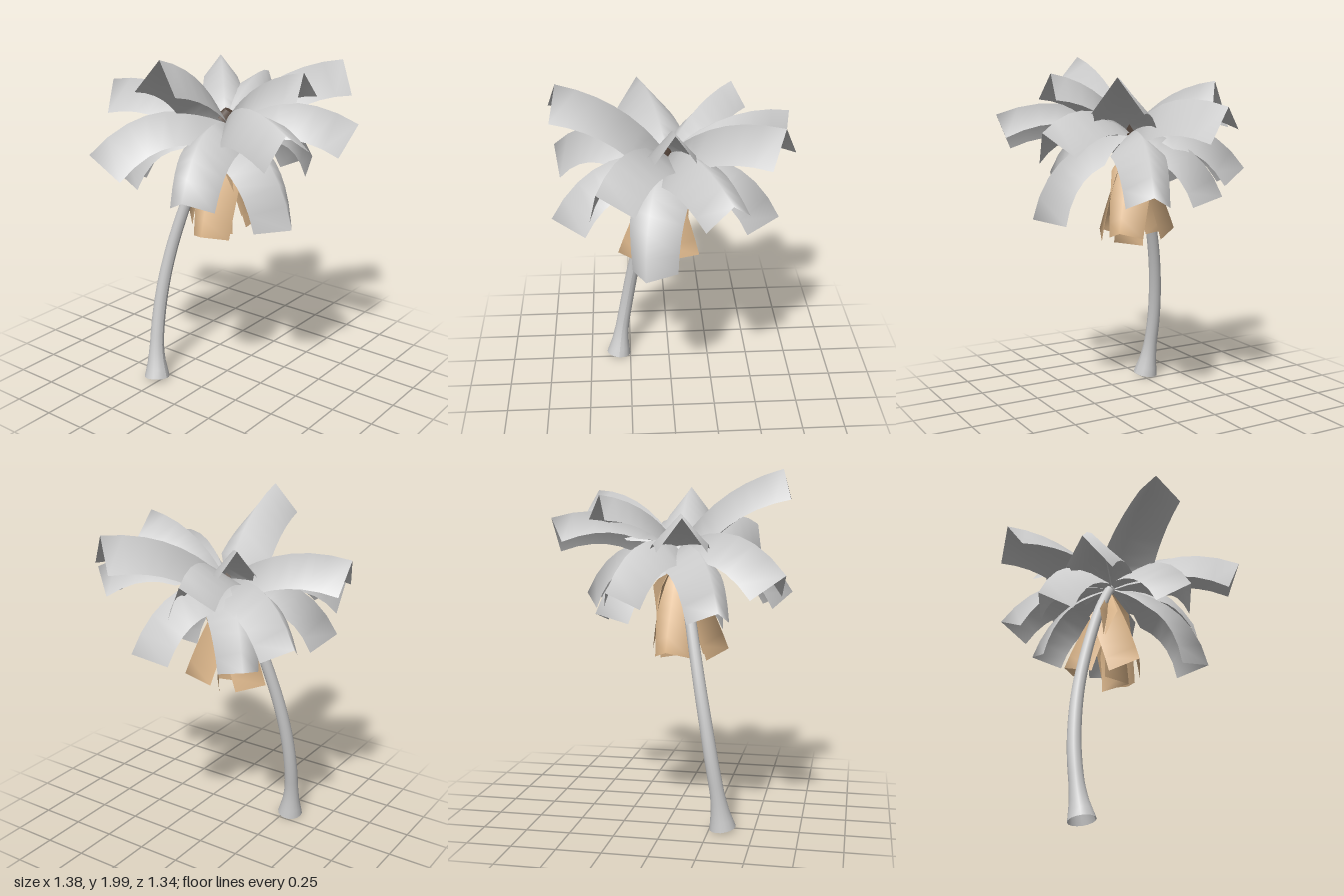
import * as THREE from 'three';

const UP = new THREE.Vector3(0, 1, 0);
const v = (x, y, z) => new THREE.Vector3(x, y, z);

// Piecewise-linear lookup in a list of [t, value] pairs
function ramp(pairs, t) {
  for (let i = 1; i < pairs.length; i++) {
    const [t0, a] = pairs[i - 1], [t1, b] = pairs[i];
    if (t <= t1) return a + (b - a) * (t - t0) / (t1 - t0);
  }
  return pairs[pairs.length - 1][1];
}

// Half width and fold depth along a leaf, relative to its length
const WIDTH = [[0, 0.014], [0.28, 0.22], [1, 0.173]];
const DROP = [[0, 0.014], [0.28, 0.19], [1, 0.236]];

// Folded leaf: an arched ridge with two sides hanging down from it
function leafGeometry(base, tip, bulge, roll) {
  const chord = tip.clone().sub(base);
  const length = chord.length();
  chord.normalize();
  const side = chord.clone().cross(UP).normalize().applyAxisAngle(chord, roll);
  const lift = side.clone().cross(chord);
  const middle = base.clone().lerp(tip, 0.5).addScaledVector(lift, bulge * length);
  const ridge = new THREE.QuadraticBezierCurve3(base, middle, tip);
  const stations = [0, 0.1, 0.19, 0.28, 0.42, 0.56, 0.7, 0.85, 1];
  const positions = [], index = [];
  stations.forEach((t, i) => {
    const p = ridge.getPoint(t);
    const normal = side.clone().cross(ridge.getTangent(t));
    const w = ramp(WIDTH, t) * length, d = ramp(DROP, t) * length;
    for (const s of [-1, 0, 1]) {
      const q = p.clone();
      if (s) q.addScaledVector(side, s * w).addScaledVector(normal, -d);
      positions.push(q.x, q.y, q.z);
    }
    if (i === 0) return;
    for (let k = 0; k < 2; k++) {
      const a = (i - 1) * 3 + k, b = i * 3 + k;
      index.push(a, a + 1, b, a + 1, b + 1, b);
    }
  });
  const geometry = new THREE.BufferGeometry();
  geometry.setAttribute('position', new THREE.Float32BufferAttribute(positions, 3));
  geometry.setIndex(index);
  geometry.computeVertexNormals();
  return geometry;
}

export function createModel() {
  const model = new THREE.Group();
  const material = (name, color) => {
    const m = new THREE.MeshStandardMaterial({ color, side: THREE.DoubleSide });
    m.name = name;
    return m;
  };
  const grey = material('grey', 0xcccccc);
  const tan = material('tan', 0xdeb88c);
  const brown = material('brown', 0x54443a);
  const add = (name, geometry, mat, parent = model) => {
    const mesh = new THREE.Mesh(geometry, mat);
    mesh.name = name;
    parent.add(mesh);
    return mesh;
  };

  // Leaning hollow trunk with a flared foot
  const path = new THREE.CatmullRomCurve3([
    v(-0.283, 0.02, 0.325), v(-0.302, 0.2, 0.3), v(-0.308, 0.4, 0.265), v(-0.295, 0.6, 0.23),
    v(-0.265, 0.8, 0.192), v(-0.218, 1.0, 0.153), v(-0.16, 1.2, 0.113), v(-0.09, 1.4, 0.068),
    v(-0.015, 1.56, 0.022),
  ]);
  const rings = 32, sides = 16;
  const trunk = new THREE.TubeGeometry(path, rings, 1, sides);
  const position = trunk.attributes.position;
  const radius = [[0, 0.075], [0.03, 0.064], [0.07, 0.05], [0.13, 0.041], [0.25, 0.039], [0.6, 0.034], [1, 0.03]];
  for (let i = 0; i < position.count; i++) {
    const t = Math.floor(i / (sides + 1)) / rings;
    const centre = path.getPointAt(t);
    const p = v().fromBufferAttribute(position, i).sub(centre).multiplyScalar(ramp(radius, t)).add(centre);
    position.setXYZ(i, p.x, p.y, p.z);
  }
  trunk.computeVertexNormals();
  add('trunk', trunk, grey);

  // Bud on top of the trunk
  const bud = add('bud', new THREE.CylinderGeometry(0.032, 0.055, 0.06, 9), brown);
  bud.position.set(0.008, 1.607, 0.012);
  bud.quaternion.setFromUnitVectors(UP, path.getTangentAt(1));

  // Living fronds: tip x, y, z, bulge, roll
  const fronds = new THREE.Group();
  fronds.name = 'fronds';
  model.add(fronds);
  const tips = [
    [0.04, 2.0, 0.605, 0.2, 0], [0.5, 1.9, 0.005, 0.23, 0],
    [0.4, 1.88, -0.555, 0.22, 0], [-0.32, 1.86, -0.355, 0.22, 0],
    [-0.7, 1.75, 0.17, 0.24, 0], [-0.19, 1.73, -0.67, 0.3, 0.28],
    [0.66, 1.67, 0.4, 0.3, 0.3], [0.68, 1.6, -0.27, 0.33, 0.16],
    [-0.42, 1.45, 0.665, 0.37, 0], [-0.605, 1.36, -0.25, 0.4, 0],
    [0.21, 1.3, 0.655, 0.4, 0], [-0.55, 1.26, 0.33, 0.4, 0],
    [0.2, 1.27, -0.58, 0.4, 0], [-0.37, 1.22, -0.37, 0.36, 0],
    [0.55, 1.09, 0.16, 0.38, 0.1],
  ];
  tips.forEach(([x, y, z, bulge, roll], i) => {
    add('frond' + (i + 1), leafGeometry(v(0, 1.565, 0.02), v(x, y, z), bulge, roll), grey, fronds);
  });

  // Dead fronds hanging around the trunk
  const skirt = new THREE.Group();
  skirt.name = 'deadFronds';
  model.add(skirt);
  const deadTips = [
    [-0.285, 1.0, 0.0], [0.05, 0.98, 0.305], [0.165, 1.02, -0.15], [0.085, 0.935, 0.06],
  ];
  deadTips.forEach(([x, y, z], i) => {
    add('deadFrond' + (i + 1), leafGeometry(v(-0.02, 1.54, 0.03), v(x, y, z), 0.06, 0), tan, skirt);
  });

  return model;
}
